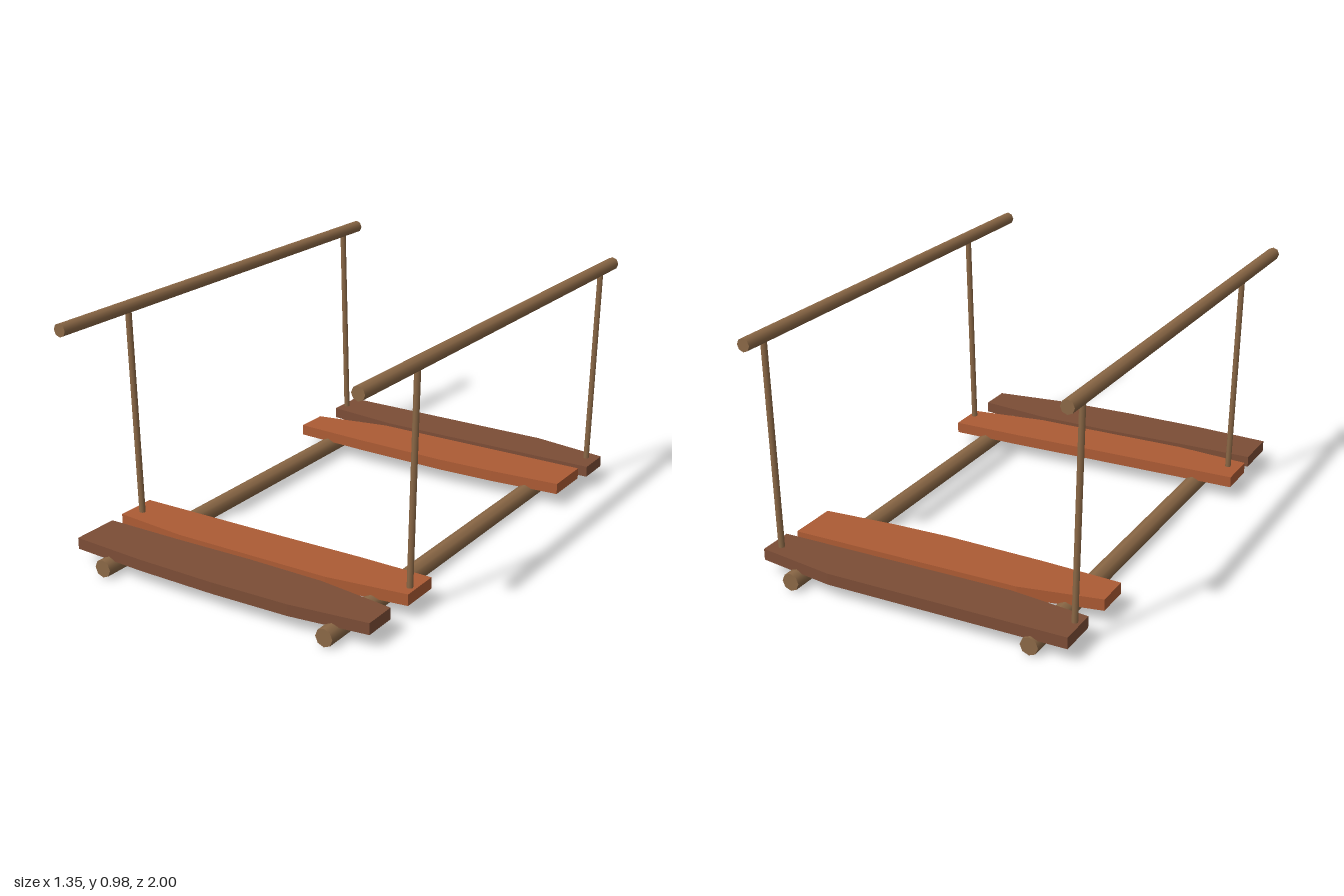
import * as THREE from 'three';

export function createModel() {
  const model = new THREE.Group();
  model.name = 'bridgeSection';

  const pole = new THREE.MeshStandardMaterial({ color: 0x8b6846 });
  pole.name = 'poleWood';
  const dark = new THREE.MeshStandardMaterial({ color: 0x7c4d36 });
  dark.name = 'darkPlank';
  const light = new THREE.MeshStandardMaterial({ color: 0xac5b34 });
  light.name = 'lightPlank';

  // Round pole between two points
  function addPole(name, from, to, radius, sides) {
    const a = new THREE.Vector3(...from);
    const dir = new THREE.Vector3(...to).sub(a);
    const mesh = new THREE.Mesh(new THREE.CylinderGeometry(radius, radius, dir.length(), sides), pole);
    mesh.position.copy(a).addScaledVector(dir, 0.5);
    mesh.quaternion.setFromUnitVectors(new THREE.Vector3(0, 1, 0), dir.normalize());
    mesh.name = name;
    model.add(mesh);
  }

  // Ground beams, hand rails and leaning posts on both sides
  for (const [side, s] of [['left', 1], ['right', -1]]) {
    addPole(side + 'Beam', [s * 0.505, 0.036, -1], [s * 0.505, 0.036, 1], 0.036, 8);
    addPole(side + 'HandRail', [s * 0.646, 0.957, -1], [s * 0.646, 0.957, 1], 0.027, 8);
    for (const [end, z] of [['Front', 0.622], ['Back', -0.883]]) {
      addPole(side + end + 'Post', [s * 0.625, 0.09, z], [s * 0.645, 0.95, z], 0.0125, 8);
    }
  }

  // Rough-cut plank from its outline in x, z
  function addPlank(name, outline, material) {
    const shape = new THREE.Shape(outline.map(([x, z]) => new THREE.Vector2(x, -z)));
    const geometry = new THREE.ExtrudeGeometry(shape, { depth: 0.046, bevelEnabled: false });
    geometry.rotateX(-Math.PI / 2);
    const mesh = new THREE.Mesh(geometry, material);
    mesh.position.y = 0.059;
    mesh.name = name;
    model.add(mesh);
  }

  addPlank('frontOuterPlank', [
    [-0.67, 0.752], [-0.35, 0.752], [0, 0.746], [0.33, 0.752], [0.65, 0.795],
    [0.65, 0.933], [0.33, 0.971], [0, 0.978], [-0.35, 0.971], [-0.67, 0.95],
  ], dark);
  addPlank('frontInnerPlank', [
    [-0.678, 0.515], [0, 0.511], [0.33, 0.506], [0.65, 0.51],
    [0.65, 0.675], [0.32, 0.717], [-0.36, 0.717], [-0.678, 0.685],
  ], light);
  addPlank('backInnerPlank', [
    [-0.65, -0.69], [-0.325, -0.75], [0.65, -0.748],
    [0.65, -0.54], [0.345, -0.52], [0.1, -0.514], [-0.325, -0.528], [-0.65, -0.547],
  ], light);
  addPlank('backOuterPlank', [
    [-0.65, -0.99], [0.345, -0.985], [0.674, -0.93],
    [0.674, -0.784], [-0.325, -0.784], [-0.65, -0.825],
  ], dark);

  return model;
}
